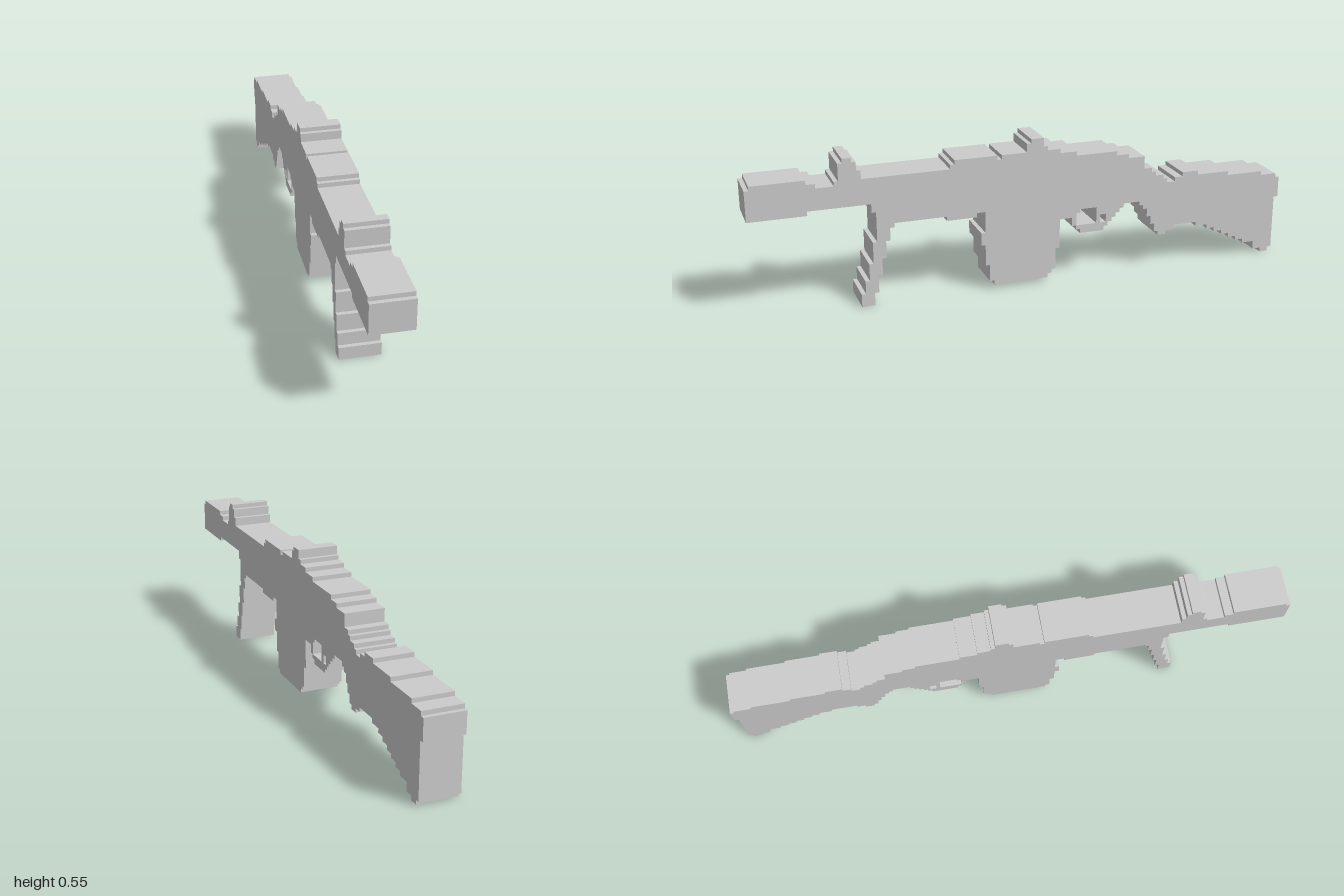
import * as THREE from 'three';

const UNIT = 1 / 64;   // size of one step of the stepped outline
const WIDTH = 0.146;
const material = new THREE.MeshStandardMaterial({ color: 0xcccccc, flatShading: true });

// Stair line: from `start`, each [end, level] runs at `level` until `end`
function stairs(start, steps) {
  const points = [];
  let at = start;
  for (const [end, level] of steps) {
    points.push([at, level], [end, level]);
    at = end;
  }
  return points;
}

const toVectors = (points) => points.map(([z, y]) => new THREE.Vector2(z * UNIT, y * UNIT));

// Extrudes a (z, y) outline across the width of the model
function slab(name, outline, holes = []) {
  const shape = new THREE.Shape(toVectors(outline));
  for (const hole of holes) shape.holes.push(new THREE.Path(toVectors(hole)));
  const geometry = new THREE.ExtrudeGeometry(shape, { depth: WIDTH, bevelEnabled: false });
  geometry.translate(0, 0, -WIDTH / 2).rotateY(-Math.PI / 2);
  const mesh = new THREE.Mesh(geometry, material);
  mesh.name = name;
  return mesh;
}

// Part bounded by an upper and a lower stair line, running front to back
const columns = (start, upper, lower) =>
  [...stairs(start, upper), ...stairs(start, lower).reverse()];

// Part bounded by a front and a rear stair line, running bottom to top
const rows = (start, front, rear) =>
  columns(start, front, rear).map(([y, z]) => [z, y]);

export function createModel() {
  const model = new THREE.Group();
  model.name = 'steppedRifle';

  // Muzzle block, barrel and front sight
  model.add(slab('barrel', columns(64,
    [[63, 30], [51, 31], [49, 30], [45, 29], [44, 30], [43, 34], [41, 35], [40, 34], [39, 32], [32, 30]],
    [[51, 23], [32, 24]])));

  // Folding leg slanting forward to its foot
  model.add(slab('frontLeg', rows(0,
    [[3, 40], [6, 39], [10, 38], [15, 37], [22, 36], [24, 37]],
    [[3, 37], [7, 36], [11, 35], [15, 34], [18, 33], [24, 32]])));

  // Receiver with the rear sight
  model.add(slab('receiver', columns(32,
    [[19, 30], [18, 31], [8, 32], [7, 31], [1, 32], [0, 34], [-3, 35], [-4, 33], [-7, 32],
      [-11, 31], [-21, 30], [-24, 29], [-28, 28]],
    [[20, 19], [13, 18], [-10, 19], [-27, 17], [-28, 16]])));

  // Magazine
  model.add(slab('magazine', rows(1,
    [[2, 9], [6, 10], [11, 11], [14, 12], [19, 11]],
    [[2, -4], [3, -5], [8, -6], [15, -7], [19, -10]])));

  // Trigger guard, with openings in front of and behind the trigger
  model.add(slab('triggerGuard', columns(-10,
    [[-23, 17]],
    [[-11, 13], [-12, 12], [-18, 11], [-19, 12], [-20, 13], [-21, 14], [-22, 15], [-23, 16]]),
  [
    [[-11, 13], [-16, 13], [-16, 16.9], [-12, 16.9], [-12, 16], [-11, 16]].map(([z, y]) => [z - 0.1, y]),
    [[-17, 13], [-18.5, 13], [-18.5, 15], [-17, 15]],
  ]));

  // Grip and shoulder stock
  model.add(slab('stock', columns(-28,
    [[-30, 25], [-31, 24], [-33, 23], [-34, 22], [-36, 21], [-38, 22], [-42, 23], [-50, 22],
      [-59, 21], [-63, 20], [-64, 19]],
    [[-29, 15], [-30, 13], [-31, 11], [-32, 9], [-34, 8], [-36, 9], [-42, 10], [-45, 9], [-47, 8],
      [-49, 7], [-51, 6], [-53, 5], [-55, 4], [-58, 3], [-60, 1], [-62, 0], [-63, 1], [-64, 14]])));

  return model;
}
